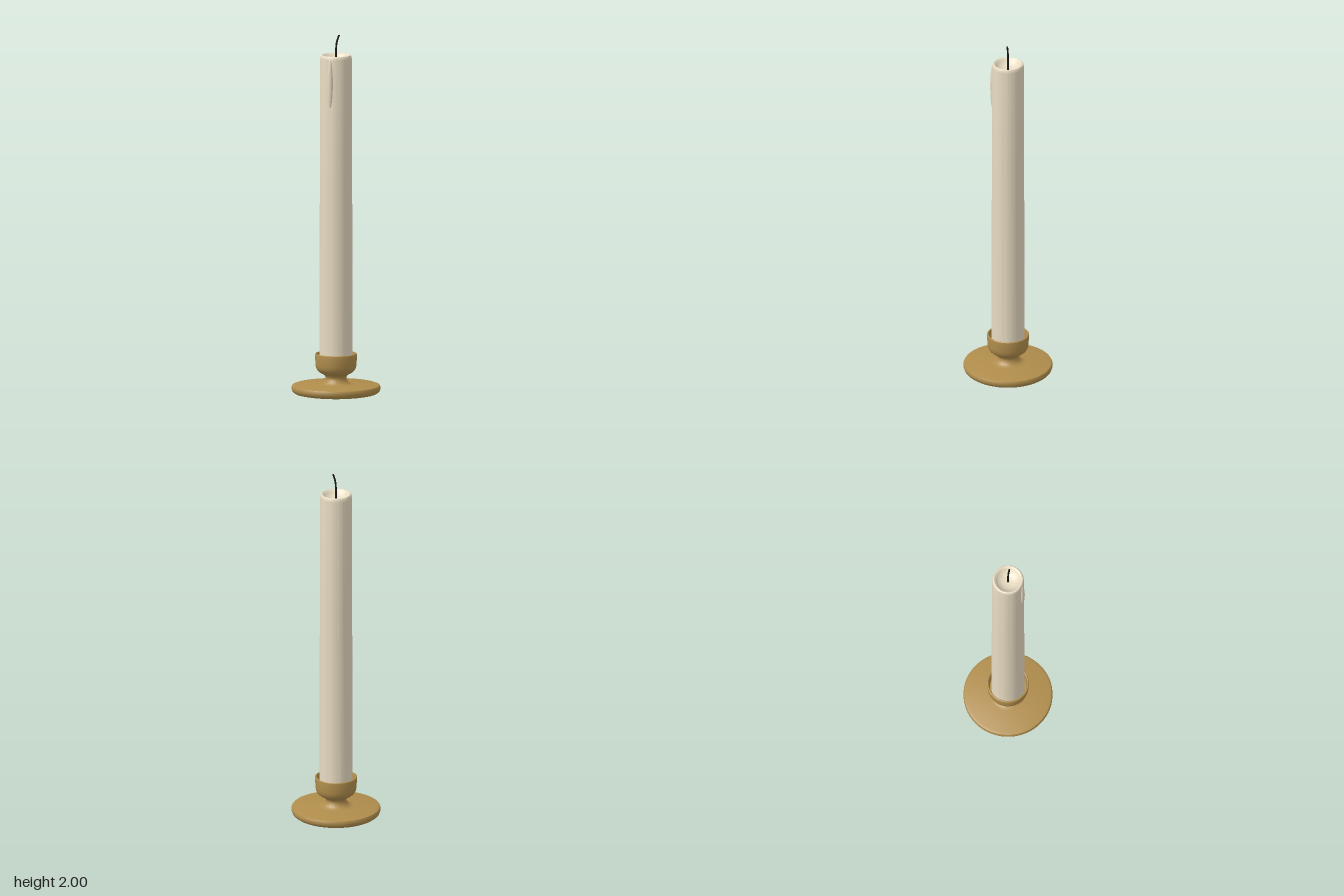
import * as THREE from 'three';
import { toCreasedNormals } from 'three/addons/utils/BufferGeometryUtils.js';

// Turn a profile of [radius, height] points, listed from the bottom up
function turned(name, profile, material) {
  const points = profile.map(([r, y]) => new THREE.Vector2(r, y));
  const geometry = toCreasedNormals(new THREE.LatheGeometry(points, 64), 0.7);
  const mesh = new THREE.Mesh(geometry, material);
  mesh.name = name;
  return mesh;
}

export function createModel() {
  const brass = new THREE.MeshStandardMaterial({ name: 'brass', color: 0xb08d4c });
  const wax = new THREE.MeshStandardMaterial({ name: 'wax', color: 0xe8dcc2 });
  const char = new THREE.MeshStandardMaterial({ name: 'charred wick', color: 0x1c1916 });
  const model = new THREE.Group();
  model.name = 'candlestick';

  // Holder: round foot, waisted stem and hollow cup
  model.add(turned('holder', [
    [0, 0], [0.21, 0], [0.228, 0.004], [0.24, 0.013], [0.245, 0.026],
    [0.245, 0.038], [0.241, 0.046], [0.23, 0.05], [0.1, 0.052],
    [0.082, 0.055], [0.068, 0.065], [0.06, 0.077], [0.057, 0.088],
    [0.06, 0.098], [0.07, 0.108], [0.088, 0.117], [0.102, 0.129],
    [0.11, 0.143], [0.113, 0.16], [0.116, 0.215], [0.115, 0.221],
    [0.111, 0.224], [0.107, 0.222], [0.105, 0.215], [0.1, 0.15], [0, 0.145],
  ], brass));

  // Tapered candle with a rounded lip and a melted hollow on top
  model.add(turned('candle', [
    [0, 0.146], [0.092, 0.146], [0.0905, 0.7], [0.089, 1.2], [0.087, 1.865],
    [0.086, 1.876], [0.082, 1.884], [0.077, 1.886], [0.071, 1.883],
    [0.064, 1.872], [0.052, 1.86], [0.035, 1.852], [0.018, 1.848], [0, 1.847],
  ], wax));

  // Wax drip running down the front
  const drip = new THREE.Mesh(new THREE.SphereGeometry(1, 24, 24), wax);
  drip.name = 'waxDrip';
  drip.scale.set(0.016, 0.135, 0.014);
  drip.position.set(0, 1.737, 0.086);
  model.add(drip);

  // Curved wick with a closed tip
  const curve = new THREE.CatmullRomCurve3([
    new THREE.Vector3(0, 1.84, 0), new THREE.Vector3(0, 1.9, 0),
    new THREE.Vector3(0.004, 1.955, 0), new THREE.Vector3(0.018, 1.997, 0),
  ]);
  const wick = new THREE.Group();
  wick.name = 'wick';
  wick.add(new THREE.Mesh(new THREE.TubeGeometry(curve, 24, 0.005, 10), char));
  const tip = new THREE.Mesh(new THREE.CircleGeometry(0.005, 10), char);
  tip.position.copy(curve.getPoint(1));
  tip.quaternion.setFromUnitVectors(new THREE.Vector3(0, 0, 1), curve.getTangent(1));
  wick.add(tip);
  wick.children[0].name = 'wickCord';
  tip.name = 'wickTip';
  model.add(wick);

  return model;
}
